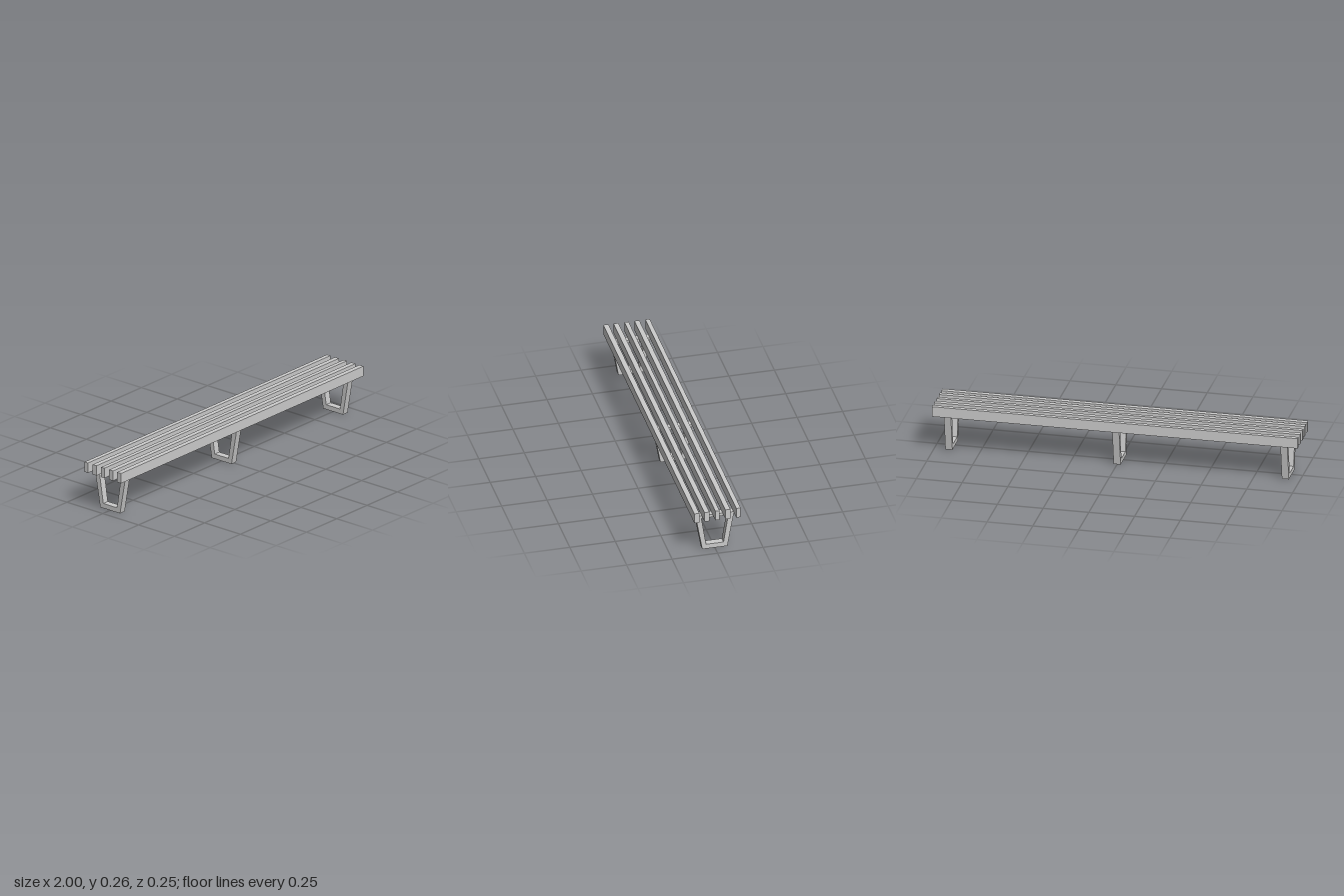
import * as THREE from 'three';

const material = new THREE.MeshStandardMaterial({ color: 0xcccccc, flatShading: true });

// Symmetric trapezoid outline in the z-y plane
function trapezoid(PathType, bottomHalf, bottomY, topHalf, topY) {
  const path = new PathType();
  path.moveTo(-bottomHalf, bottomY);
  path.lineTo(bottomHalf, bottomY);
  path.lineTo(topHalf, topY);
  path.lineTo(-topHalf, topY);
  path.closePath();
  return path;
}

export function createModel() {
  const bench = new THREE.Group();
  bench.name = 'slattedBench';

  // Seat slats: [back z, front z], running the full length
  const slatBottom = 0.207, slatTop = 0.264;
  const slats = [[0.1, 0.128], [0.045, 0.072], [-0.011, 0.012], [-0.07, -0.043], [-0.127, -0.103]];
  slats.forEach(([back, front], i) => {
    const slat = new THREE.Mesh(new THREE.BoxGeometry(2, slatTop - slatBottom, front - back), material);
    slat.position.set(0, (slatTop + slatBottom) / 2, (front + back) / 2);
    slat.name = `seatSlat${i + 1}`;
    bench.add(slat);
  });

  // Tapered closed-loop leg frames
  const legWidth = 0.038;
  const outline = trapezoid(THREE.Shape, 0.069, 0, 0.106, 0.209);
  outline.holes.push(trapezoid(THREE.Path, 0.048, 0.027, 0.074, 0.192));
  const legGeometry = new THREE.ExtrudeGeometry(outline, { depth: legWidth, bevelEnabled: false });
  legGeometry.translate(0, 0, -legWidth / 2);
  legGeometry.rotateY(-Math.PI / 2);
  [['rightLegFrame', -0.92], ['middleLegFrame', 0], ['leftLegFrame', 0.92]].forEach(([name, x]) => {
    const leg = new THREE.Mesh(legGeometry, material);
    leg.position.x = x;
    leg.name = name;
    bench.add(leg);
  });

  return bench;
}
